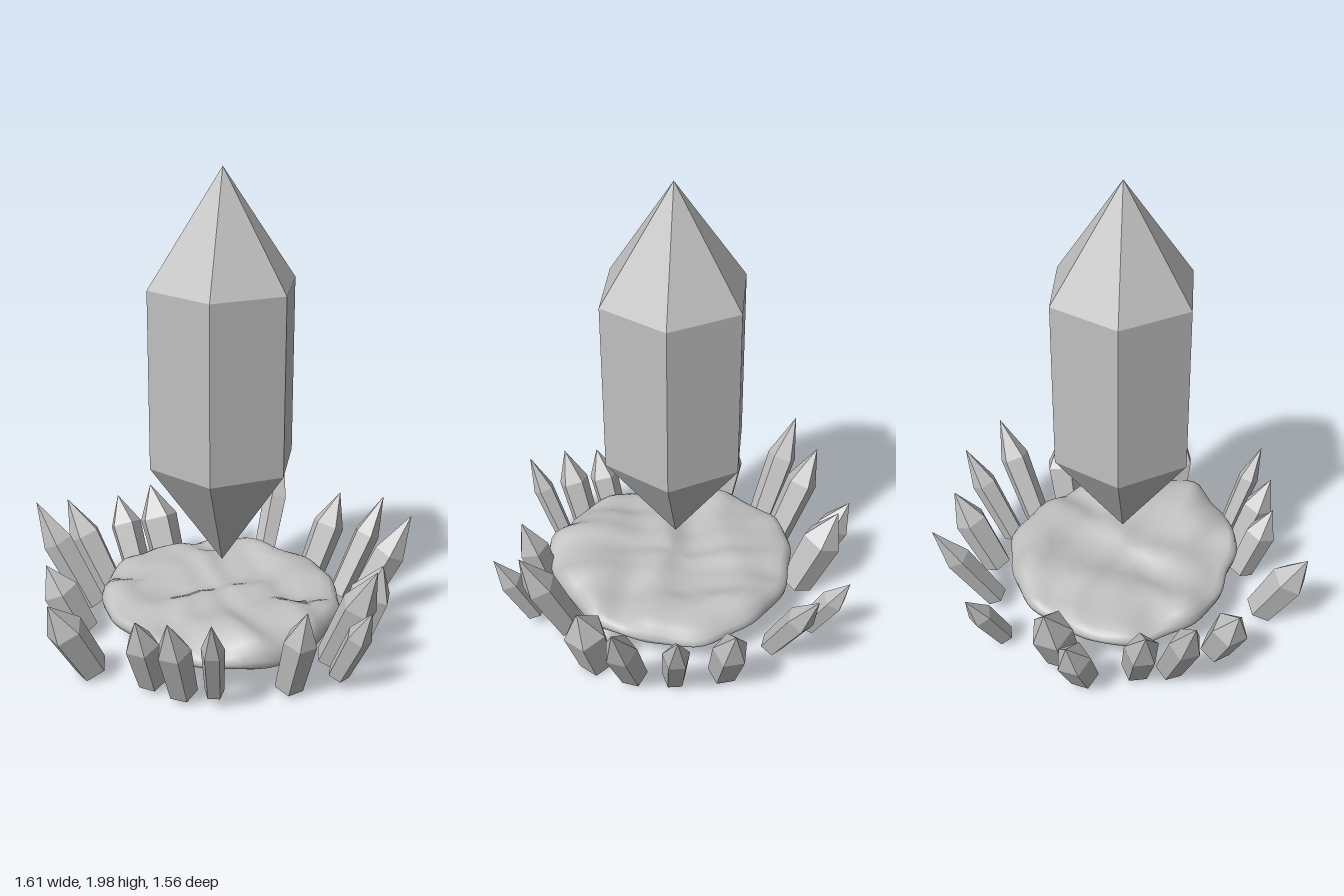
import * as THREE from 'three';
import { mergeVertices } from 'three/addons/utils/BufferGeometryUtils.js';

const stone = new THREE.MeshStandardMaterial({ color: 0xc0c0c0 });
stone.name = 'grey stone';

// Faceted solid turned from a profile of [radius, height] pairs, bottom to top
function facetedSolid(profile, sides) {
  const points = profile.map(([r, y]) => new THREE.Vector2(r, y));
  const geometry = new THREE.LatheGeometry(points, sides).toNonIndexed();
  geometry.computeVertexNormals();
  return geometry;
}

// Small five-sided shard leaning outward from its inner foot to its tip
function makeShard([footX, footZ, tipX, tipZ, tipY, width, footY = 0.055]) {
  const r = width / 1.9;
  const tip = new THREE.Vector3(tipX, tipY, tipZ);
  const out = new THREE.Vector3(tipX - footX, 0, tipZ - footZ).normalize();
  const foot = new THREE.Vector3(footX, footY, footZ).addScaledVector(out, r * 0.7);
  const up = tip.clone().sub(foot);
  const length = up.length();
  up.normalize();
  const side = new THREE.Vector3().crossVectors(up, out.negate()).normalize();
  const inward = new THREE.Vector3().crossVectors(side, up);

  const shard = new THREE.Mesh(
    facetedSolid([[0, 0], [r * 0.86, 0], [r, length * 0.62], [0, length]], 5), stone);
  shard.quaternion.setFromRotationMatrix(new THREE.Matrix4().makeBasis(side, up, inward));
  shard.position.copy(foot);
  return shard;
}

// Lumpy disc of rock: flat underside, rounded rim, rippled top
function makeRock() {
  const profile = [[0, 0.12], [0.45, 0.12], [0.8, 0.123], [0.93, 0.135], [0.99, 0.155],
    [1, 0.175], [0.98, 0.2], [0.93, 0.215], [0.85, 0.222], [0.75, 0.222], [0.64, 0.22],
    [0.53, 0.218], [0.42, 0.216], [0.31, 0.214], [0.2, 0.212], [0.1, 0.21], [0, 0.21]];
  let geometry = new THREE.LatheGeometry(profile.map(([r, y]) => new THREE.Vector2(r, y)), 80);
  geometry.deleteAttribute('uv');
  geometry.deleteAttribute('normal');
  geometry = mergeVertices(geometry, 1e-4);
  const p = geometry.attributes.position;
  for (let i = 0; i < p.count; i++) {
    const x = p.getX(i), y = p.getY(i), z = p.getZ(i);
    const a = Math.atan2(z, x);
    // Uneven outline
    const radius = 0.513 + 0.02 * Math.cos(2 * a - 1.9) + 0.018 * Math.cos(3 * a - 3.9)
      + 0.008 * Math.sin(7 * a + 1) + 0.005 * Math.sin(13 * a);
    // Ripples and a swelling towards the front left, on the upper side only
    const top = THREE.MathUtils.smoothstep(y, 0.15, 0.21);
    const ripple = 0.012 * Math.sin(7 * x + 3 * Math.sin(4 * z))
      + 0.01 * Math.sin(9 * z + 2 * Math.sin(5 * x + 1)) + 0.004 * Math.sin(19 * x - 13 * z);
    const swell = 0.05 * Math.exp(-6 * ((x - 0.35) ** 2 + (z - 0.5) ** 2))
      + 0.02 * Math.exp(-6 * ((x - 0.1) ** 2 + (z + 0.6) ** 2));
    p.setXYZ(i, 0.03 + x * radius, y + top * (ripple + swell), 0.035 + z * radius);
  }
  geometry.computeVertexNormals();
  return new THREE.Mesh(geometry, stone);
}

// Each shard: inner foot x, z, tip x, z, tip height, width, optional foot height
const shards = [
  [-0.07, -0.56, -0.11, -0.765, 0.35, 0.1],
  [0.125, -0.505, 0.195, -0.785, 0.495, 0.11, 0.08],
  [0.32, -0.41, 0.48, -0.585, 0.425, 0.14],
  [0.47, -0.28, 0.68, -0.45, 0.48, 0.11],
  [0.535, -0.14, 0.805, -0.23, 0.495, 0.13],
  [0.53, 0.02, 0.7, 0.03, 0.38, 0.17, 0.04],
  [0.46, 0.22, 0.685, 0.335, 0.505, 0.14],
  [0.52, 0.375, 0.675, 0.49, 0.41, 0.1, 0.08],
  [0.33, 0.43, 0.435, 0.545, 0.42, 0.13, 0.05],
  [0.085, 0.57, 0.105, 0.775, 0.465, 0.09, 0.08],
  [-0.03, 0.53, -0.07, 0.72, 0.425, 0.13],
  [-0.16, 0.475, -0.21, 0.645, 0.38, 0.13],
  [-0.39, 0.43, -0.565, 0.595, 0.39, 0.15],
  [-0.49, 0.17, -0.69, 0.19, 0.35, 0.15],
  [-0.51, -0.045, -0.805, -0.08, 0.51, 0.13],
  [-0.45, -0.16, -0.715, -0.25, 0.455, 0.14],
  [-0.4, -0.35, -0.55, -0.515, 0.37, 0.14],
  [-0.24, -0.37, -0.4, -0.54, 0.425, 0.17],
];

export function createModel() {
  const model = new THREE.Group();
  model.name = 'floatingCrystalShrine';

  // Tall six-sided crystal, pointed at both ends, hovering over the rock
  const crystal = new THREE.Mesh(
    facetedSolid([[0, 0.355], [0.31, 0.81], [0.31, 1.545], [0, 2]], 6), stone);
  crystal.name = 'floatingCrystal';
  crystal.position.set(0.027, 0, 0.023);
  model.add(crystal);

  const rock = makeRock();
  rock.name = 'rockBase';
  model.add(rock);

  // Ring of shards around the rock
  const ring = new THREE.Group();
  ring.name = 'shardRing';
  shards.forEach((spec, i) => {
    const shard = makeShard(spec);
    shard.name = `shard${i + 1}`;
    ring.add(shard);
  });
  model.add(ring);

  return model;
}
